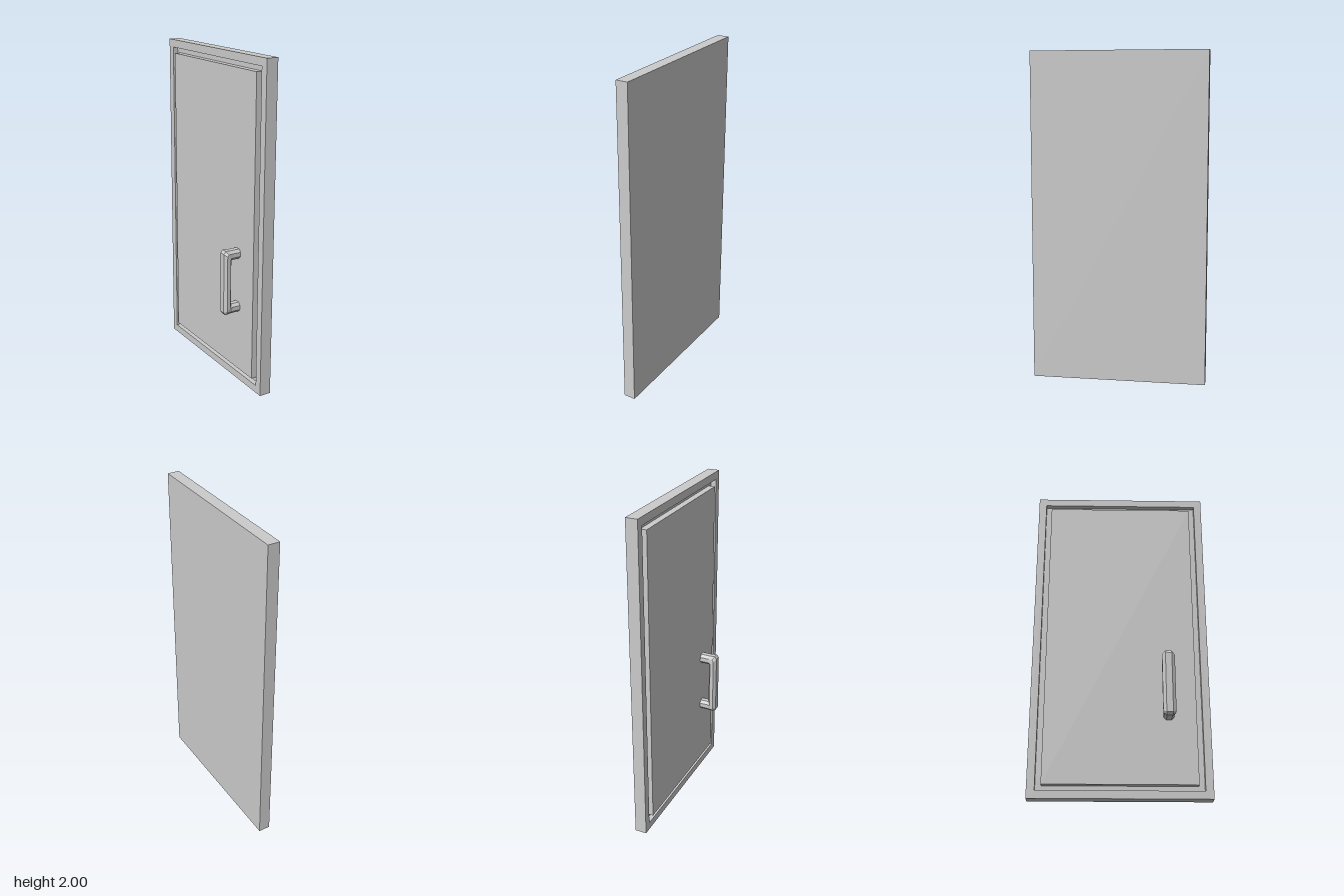
import * as THREE from 'three';

const material = new THREE.MeshStandardMaterial({ color: 0xcccccc, flatShading: true });

function addMesh(group, name, geometry) {
  const mesh = new THREE.Mesh(geometry, material);
  mesh.name = name;
  group.add(mesh);
}

// Box given by its x and y ranges, centred on z = 0
function slab(x0, x1, y0, y1, width) {
  return new THREE.BoxGeometry(x1 - x0, y1 - y0, width)
    .translate((x0 + x1) / 2, (y0 + y1) / 2, 0);
}

// Rectangular rim standing on the backing board, leaving a groove round the panel
function rimGeometry(x0, x1, halfWidth, height, border) {
  const rect = (target, hw, y0, y1) =>
    target.moveTo(-hw, y0).lineTo(hw, y0).lineTo(hw, y1).lineTo(-hw, y1).closePath();
  const shape = rect(new THREE.Shape(), halfWidth, 0, height);
  shape.holes.push(rect(new THREE.Path(), halfWidth - border, border, height - border));
  return new THREE.ExtrudeGeometry(shape, { depth: x1 - x0, bevelEnabled: false })
    .rotateY(-Math.PI / 2)
    .translate(x1, 0, 0);
}

// U-shaped pull: octagonal sections swept round two chamfered corners
function handleGeometry(midY, z) {
  // Each section: inner x, inner y, outer x, outer y, half width in z
  const half = [
    [0.016, 0.14, 0.016, 0.2, 0.031],
    [-0.036, 0.14, -0.048, 0.2, 0.031],
    [-0.042, 0.14, -0.082, 0.203, 0.036],
    [-0.044, 0.138, -0.095, 0.186, 0.038],
  ];
  const sections = [
    ...half,
    ...half.slice().reverse().map(([ix, iy, ox, oy, w]) => [ix, -iy, ox, -oy, w]),
  ];
  // Octagon: fraction from inner to outer side, fraction of half width
  const octagon = [[0, -0.5], [0, 0.5], [0.28, 1], [0.72, 1], [1, 0.5], [1, -0.5], [0.72, -1], [0.28, -1]];
  const rings = sections.map(([ix, iy, ox, oy, w]) => octagon.map(([t, s]) =>
    [ix + (ox - ix) * t, midY + iy + (oy - iy) * t, z + w * s]));

  const positions = [];
  for (let i = 0; i < rings.length - 1; i++) {
    for (let j = 0; j < 8; j++) {
      const k = (j + 1) % 8;
      const a = rings[i][j], b = rings[i][k], c = rings[i + 1][k], d = rings[i + 1][j];
      positions.push(...a, ...b, ...c, ...a, ...c, ...d);
    }
  }
  const geometry = new THREE.BufferGeometry();
  geometry.setAttribute('position', new THREE.Float32BufferAttribute(positions, 3));
  geometry.computeVertexNormals();
  return geometry;
}

export function createModel() {
  const door = new THREE.Group();
  door.name = 'door';
  const grooveFloor = 0.052;

  addMesh(door, 'backingBoard', slab(grooveFloor, 0.093, 0, 2, 1.064));
  addMesh(door, 'rim', rimGeometry(0.021, grooveFloor, 0.532, 2, 0.047));
  addMesh(door, 'raisedPanel', slab(0.013, grooveFloor, 0.08, 1.92, 0.9));
  addMesh(door, 'pullHandle', handleGeometry(0.665, 0.285));
  return door;
}
